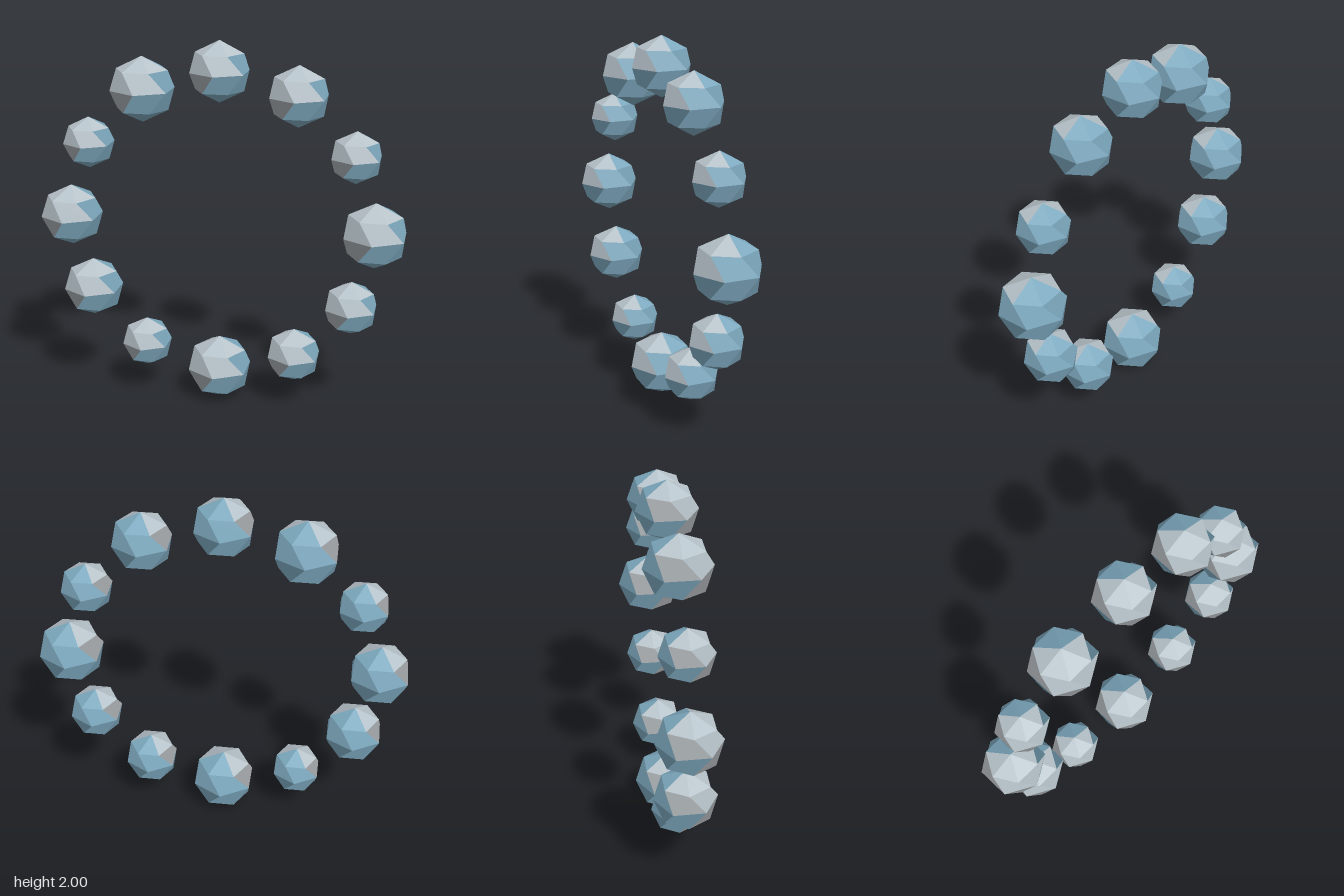
import * as THREE from 'three';

const pale = new THREE.MeshStandardMaterial({ color: 0xb7c3ca });
pale.name = 'pale grey';
const grey = new THREE.MeshStandardMaterial({ color: 0xa3a8ab });
grey.name = 'stone grey';
const blue = new THREE.MeshStandardMaterial({ color: 0x7eaac0 });
blue.name = 'soft blue';
const materials = [pale, grey, blue];

// Point on a unit-size bead: angle in degrees runs from +x towards +z
function point(degrees, radius, y) {
  const a = THREE.MathUtils.degToRad(degrees);
  return new THREE.Vector3(Math.cos(a) * radius, y, Math.sin(a) * radius);
}

// Six-sided faceted bead: caps of triangles, twisted quads between the rings
function beadGeometry() {
  const positions = [], normals = [];
  const geometry = new THREE.BufferGeometry();

  // Adds a triangle or quad (counter-clockwise from outside) with one flat normal
  function facet(corners, material) {
    const [a, b, c, d] = corners;
    const normal = d
      ? c.clone().sub(a).cross(d.clone().sub(b)).normalize()
      : b.clone().sub(a).cross(c.clone().sub(a)).normalize();
    const list = d ? [a, b, c, a, c, d] : [a, b, c];
    geometry.addGroup(positions.length / 3, list.length, material);
    for (const p of list) {
      positions.push(p.x, p.y, p.z);
      normals.push(normal.x, normal.y, normal.z);
    }
  }

  const top = new THREE.Vector3(0, 1, 0);
  const bottom = new THREE.Vector3(0, -1, 0);
  const capColours = [0, 0, 0, 0, 2, 2];
  const upperColours = [2, 0, 0, 1, 2, 2];
  const lowerColours = [2, 2, 1, 2, 2, 2];

  for (let k = 0; k < 6; k++) {
    const right = k * 60, left = right + 60;
    const upperRight = point(right, 0.8, 0.6), upperLeft = point(left, 0.8, 0.6);
    const lowerRight = point(right, 0.8, -0.6), lowerLeft = point(left, 0.8, -0.6);
    const midRight = point(right - 30, 1, 0), midLeft = point(left - 30, 1, 0);
    facet([top, upperLeft, upperRight], capColours[k]);
    facet([upperLeft, midLeft, midRight, upperRight], upperColours[k]);
    facet([midLeft, lowerLeft, lowerRight, midRight], lowerColours[k]);
    facet([bottom, lowerRight, lowerLeft], 2);
  }

  geometry.setAttribute('position', new THREE.Float32BufferAttribute(positions, 3));
  geometry.setAttribute('normal', new THREE.Float32BufferAttribute(normals, 3));
  return geometry;
}

export function createModel() {
  const model = new THREE.Group();
  model.name = 'beadRing';
  const geometry = beadGeometry();

  // Bead sizes, starting at +x and going up over the top
  const sizes = [0.179, 0.14, 0.162, 0.162, 0.175, 0.14, 0.17, 0.165, 0.14, 0.179, 0.15, 0.148];
  const ringRadius = 0.829, ringHeight = 1.008;
  sizes.forEach((size, i) => {
    const angle = (i * Math.PI) / 6;
    const bead = new THREE.Mesh(geometry, materials);
    bead.name = `bead${i + 1}`;
    bead.scale.setScalar(size);
    bead.position.set(Math.cos(angle) * ringRadius, ringHeight + Math.sin(angle) * ringRadius, 0);
    model.add(bead);
  });
  return model;
}
